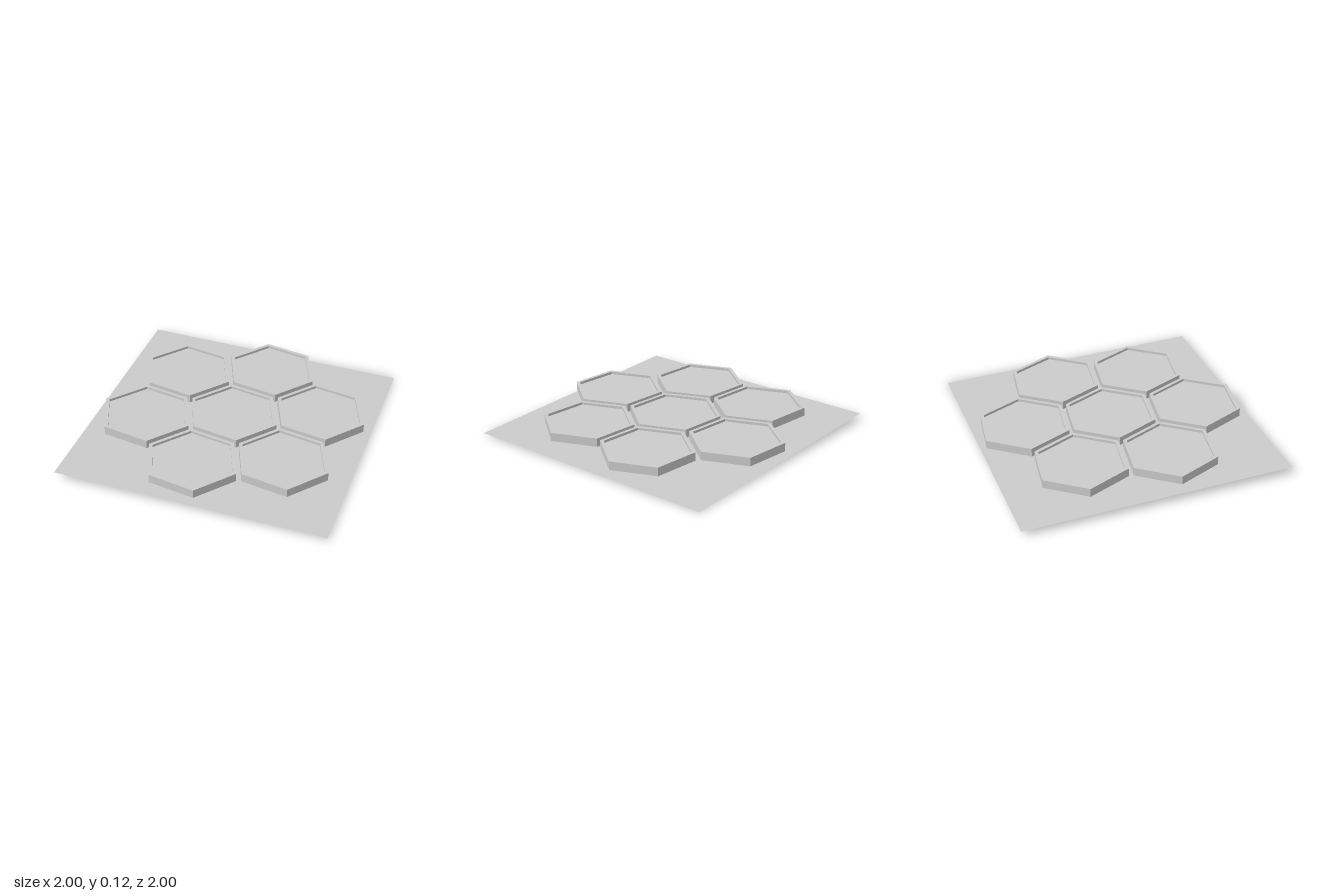
import * as THREE from 'three';

export function createModel() {
  const model = new THREE.Group();
  const grey = new THREE.MeshStandardMaterial({ color: 0xcccccc, flatShading: true, side: THREE.DoubleSide });

  // Everything lies on one gently tilted surface
  const tilted = new THREE.Group();
  tilted.name = 'tiltedAssembly';
  tilted.position.y = 0.024;
  tilted.rotation.z = -0.024;
  model.add(tilted);

  // Thin square sheet, turned about the vertical
  const sheetGeometry = new THREE.PlaneGeometry(1.542, 1.542).rotateX(-Math.PI / 2).rotateY(-0.375);
  const sheet = new THREE.Mesh(sheetGeometry, grey);
  sheet.name = 'baseSheet';
  tilted.add(sheet);

  // Hexagonal tile with a raised rim around a shallow recess
  const bottom = 0.029, top = 0.079, floor = 0.064;
  const outer = 0.271, inner = 0.249;
  const profile = [
    [0, bottom], [outer, bottom], [outer, top], [inner, top], [inner, floor], [0, floor],
  ].map(([r, y]) => new THREE.Vector2(r, y));
  const tileGeometry = new THREE.LatheGeometry(profile, 6);

  // Rows of two, three and two tiles
  const stepX = 0.498, stepZ = 0.431;
  [2, 3, 2].forEach((count, row) => {
    for (let i = 0; i < count; i++) {
      const tile = new THREE.Mesh(tileGeometry, grey);
      tile.name = 'hexTile';
      const x = (i - (count - 1) / 2) * stepX;
      tile.position.set(x, 0, (row - 1) * stepZ + 0.006 * x - 0.002);
      tilted.add(tile);
    }
  });

  return model;
}
